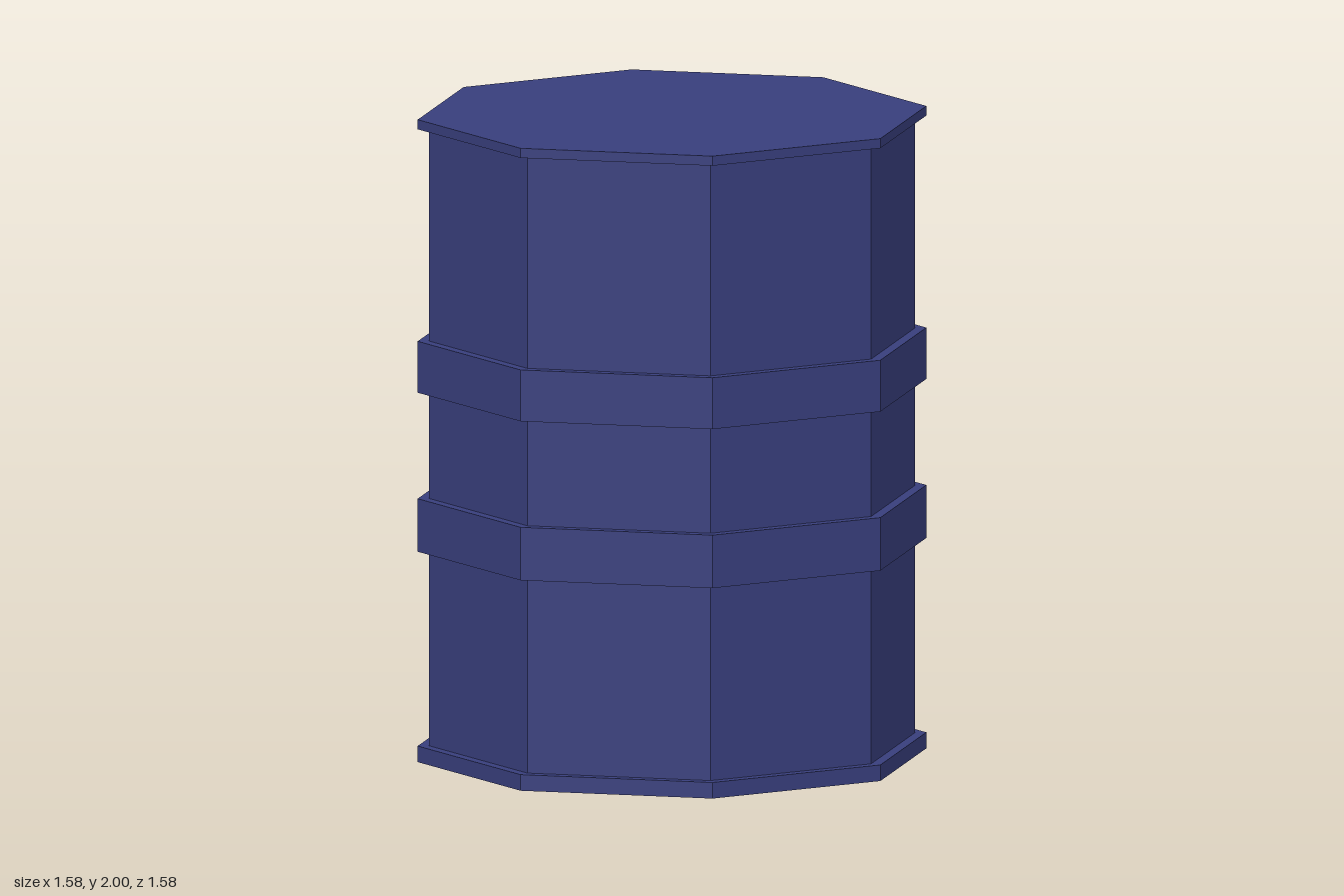
import * as THREE from 'three';

const SIDES = 8;
const BODY_RADIUS = 0.755;
const BAND_RADIUS = 0.79;

export function createModel() {
  const barrel = new THREE.Group();
  barrel.name = 'barrel';

  const navyPaint = new THREE.MeshStandardMaterial({ color: 0x383e7c, flatShading: true });
  navyPaint.name = 'navyPaint';

  // Octagonal drum section between two heights
  function addSection(name, radius, bottom, top) {
    const geometry = new THREE.CylinderGeometry(radius, radius, top - bottom, SIDES);
    const mesh = new THREE.Mesh(geometry, navyPaint);
    mesh.name = name;
    mesh.position.y = (bottom + top) / 2;
    barrel.add(mesh);
  }

  // Main drum
  addSection('body', BODY_RADIUS, 0.02, 1.98);

  // End rims, closed by the lid and the base
  addSection('bottomRim', BAND_RADIUS, 0, 0.05);
  addSection('topRim', BAND_RADIUS, 1.97, 2);

  // Raised hoops around the middle
  addSection('lowerHoop', BAND_RADIUS, 0.655, 0.82);
  addSection('upperHoop', BAND_RADIUS, 1.15, 1.31);

  return barrel;
}
